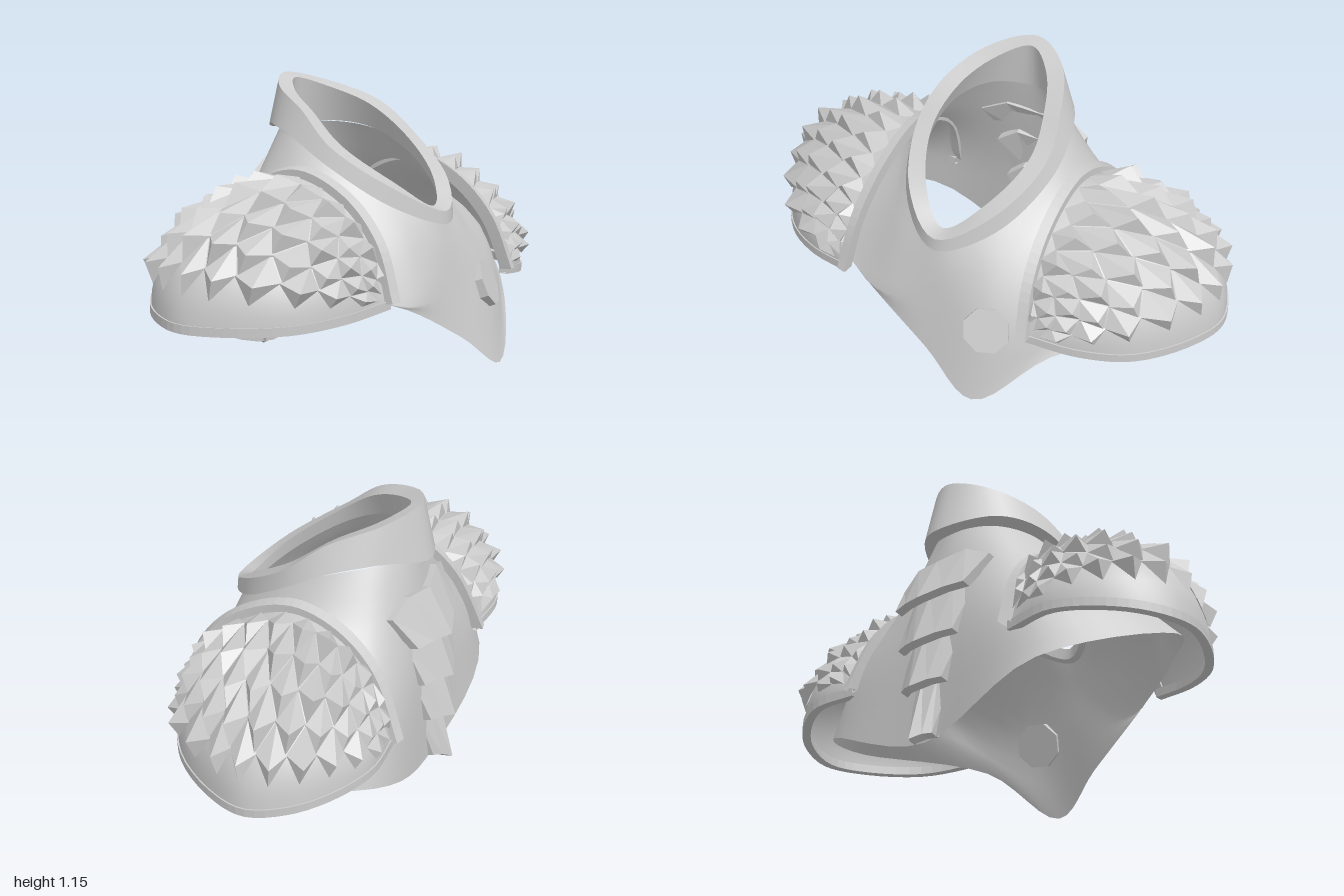
import * as THREE from 'three';

const V = (x, y, z) => new THREE.Vector3(x, y, z);
const smooth = new THREE.MeshStandardMaterial({ color: 0xcccccc, side: THREE.DoubleSide });
const flat = new THREE.MeshStandardMaterial({ color: 0xcccccc, side: THREE.DoubleSide, flatShading: true });

// Surface through rows of points; wrap joins the end of each row to its start
function loft(rows, wrap = false) {
  const n = rows[0].length, pos = [], idx = [];
  rows.forEach(r => r.forEach(p => pos.push(p.x, p.y, p.z)));
  for (let j = 0; j < rows.length - 1; j++)
    for (let i = 0; i < (wrap ? n : n - 1); i++) {
      const a = j * n + i, b = j * n + (i + 1) % n;
      idx.push(a, a + n, b, b, a + n, b + n);
    }
  const g = new THREE.BufferGeometry();
  g.setAttribute('position', new THREE.Float32BufferAttribute(pos, 3));
  g.setIndex(idx);
  g.computeVertexNormals();
  return g;
}

function add(parent, name, geo, mat = smooth) {
  const m = new THREE.Mesh(geo, mat);
  m.name = name;
  parent.add(m);
  return m;
}

const curve = (pts, closed = false) => new THREE.CatmullRomCurve3(pts.map(p => V(...p)), closed);

// Closed ring from front centre round the left side to back centre, mirrored
function ring(half, n = 60) {
  const other = half.slice(1, -1).reverse().map(([x, y, z]) => [-x, y, z]);
  return sampleRing(half.concat(other), n);
}
function sampleRing(pts, n = 60) {
  const c = curve(pts, true);
  return Array.from({ length: n }, (_, i) => c.getPoint(i / n));
}

function makeMantle(group) {
  const rings = [
    ring([[0, .62, .385], [.16, .69, .29], [.26, .82, .09], [.26, .91, -.1], [.17, .94, -.26], [0, .93, -.345]]),
    ring([[0, .5, .42], [.22, .55, .36], [.36, .71, .1], [.39, .74, -.08], [.29, .72, -.31], [0, .72, -.38]]),
    ring([[0, .34, .455], [.3, .33, .44], [.6, .52, .17], [.66, .53, -.08], [.48, .43, -.39], [0, .42, -.42]]),
    // hem with an off-centre point at the front
    sampleRing([[0, .16, .495], [.23, .02, .53], [.5, .25, .38], [.86, .33, 0], [.55, .2, -.42], [0, .02, -.44],
      [-.55, .2, -.42], [-.86, .33, 0], [-.6, .38, .28], [-.35, .335, .42]]),
  ];
  const columns = rings[0].map((_, i) => new THREE.CatmullRomCurve3(rings.map(r => r[i])).getPoints(12));
  const rows = columns[0].map((_, j) => columns.map(c => c[j]));
  add(group, 'mantle', loft(rows, true));
}

function makeCollar(group) {
  const collar = new THREE.Group();
  collar.name = 'collar';
  const outerTop = ring([[0, .65, .42], [.19, .75, .3], [.29, .9, .08], [.26, 1.03, -.08], [.16, 1.11, -.27], [0, 1.15, -.36]]);
  const outerLow = ring([[0, .6, .425], [.2, .68, .3], [.31, .83, .08], [.3, .93, -.1], [.21, .965, -.27], [0, .925, -.41]]);
  const innerLow = ring([[0, .62, .36], [.15, .7, .27], [.24, .83, .08], [.23, .92, -.1], [.15, .945, -.25], [0, .925, -.34]]);
  const innerTop = ring([[0, .665, .36], [.13, .76, .27], [.22, .9, .08], [.19, 1.02, -.08], [.11, 1.09, -.23], [0, 1.13, -.31]]);
  const faces = [[outerTop, outerLow, 'collarOutside'], [outerLow, innerLow, 'collarUnderside'],
    [innerLow, innerTop, 'collarInside'], [innerTop, outerTop, 'collarLip']];
  faces.forEach(([a, b, name]) => add(collar, name, loft([a, b], true)));
  group.add(collar);
}

// Dome between an arched inner edge and a curved lower rim
const arch = curve([[.41, .36, .44], [.39, .56, .36], [.375, .71, .21], [.37, .79, 0], [.375, .74, -.18], [.395, .61, -.33], [.43, .36, -.44]]);
const rim = curve([[.41, .36, .44], [.62, .33, .38], [.8, .31, .27], [.95, .305, .06], [.995, .31, -.1],
  [.93, .33, -.26], [.8, .35, -.38], [.64, .365, -.45], [.43, .36, -.44]]);
function dome(s, phi) {
  const a = arch.getPoint(s), r = rim.getPoint(s), c = Math.cos(phi), k = Math.sin(phi);
  return V(a.x + (r.x - a.x) * k, r.y + (a.y - r.y) * c, a.z + (r.z - a.z) * k);
}
function raised(s, phi, h) {
  const p = dome(s, phi), e = .01;
  const n = dome(s + e, phi).sub(dome(s - e, phi)).cross(dome(s, phi + e).sub(dome(s, phi - e))).normalize();
  if (n.dot(V(p.x - .4, p.y - .3, p.z)) < 0) n.negate();
  return p.addScaledVector(n, h);
}

function makeScales() {
  const pos = [], count = 11, step = .24;
  for (let j = 0; j < 5; j++)
    for (let i = 0; i < count; i++) {
      const ds = .46 / count, s = .06 + .88 * (i + (j % 2 ? .72 : .28)) / count;
      const phi = .14 + j * step, jitter = Math.sin(i * 7.3 + j * 3.1) * .012;
      const size = Math.sqrt(Math.sin(Math.PI * s));
      const lo = x => Math.min(.975, Math.max(.025, x));
      const base = [[s, Math.max(.05, phi - step)], [lo(s + ds), phi], [s, phi + step], [lo(s - ds), phi]]
        .map(([u, v]) => raised(u, v, .008));
      const tip = raised(s, phi + .1, (.058 + jitter) * size);
      base.forEach((p, k) => [p, tip, base[(k + 1) % 4]].forEach(q => pos.push(q.x, q.y, q.z)));
    }
  const g = new THREE.BufferGeometry();
  g.setAttribute('position', new THREE.Float32BufferAttribute(pos, 3));
  g.computeVertexNormals();
  return g;
}

function makePauldron() {
  const p = new THREE.Group(), N = 36;
  const along = f => Array.from({ length: N + 1 }, (_, i) => f(i / N));
  add(p, 'pauldronShell', loft(along(s => Array.from({ length: 13 }, (_, j) => dome(s, j / 12 * Math.PI / 2)))));
  add(p, 'pauldronScales', makeScales(), flat);
  // raised strip along the neck side
  add(p, 'innerTrim', loft(along(s => {
    const a = arch.getPoint(s), n = V(0, a.y - .3, a.z).normalize();
    return [[-.015, .04], [.025, .03], [.025, -.012], [-.015, -.012]]
      .map(([x, h]) => V(a.x + x, a.y, a.z).addScaledVector(n, h));
  }), true), flat);
  // strip along the lower edge
  add(p, 'lowerTrim', loft(along(s => {
    const r = rim.getPoint(s), n = V(r.x - .45, 0, r.z).normalize();
    return [[.005, .012], [.005, -.022], [-.03, -.022], [-.03, .012]]
      .map(([h, y]) => V(r.x, r.y + y, r.z).addScaledVector(n, h));
  }), true), flat);
  return p;
}

function makeSpine(group) {
  const spine = new THREE.Group();
  spine.name = 'spinePlates';
  // top y, bottom y, top half-width, bottom half-width, top z, bottom z
  const plates = [[.79, .6, .24, .19, -.4, -.5], [.64, .41, .18, .15, -.43, -.515],
    [.46, .22, .145, .11, -.45, -.53], [.27, .01, .1, .06, -.46, -.525]];
  plates.forEach(([y0, y1, w0, w1, z0, z1], k) => {
    const row = (y, w, z, side, middle, depth) => [-1, -.55, 0, .55, 1].map(t => {
      const a = Math.abs(t);
      return V(t * w, y + (a === 1 ? side : a ? middle : 0), z + depth * a);
    });
    const a = row(y0, w0, z0, -.03, .02, .05), b = row(y1, w1, z1, .025, .02, .06);
    const inward = r => r.map(p => p.clone().add(V(0, -.01, .035)));
    const rows = [a, b, inward(b), inward(a), a];
    // run the section round each column so the ends can be capped
    const plate = new THREE.Group();
    plate.name = 'spinePlate' + (k + 1);
    add(plate, 'plateBody', loft(rows), flat);
    [0, 4].forEach(i => add(plate, 'plateSide', loft([[a[i], b[i]], [rows[3][i], rows[2][i]]]), flat));
    spine.add(plate);
  });
  group.add(spine);
}

export function createModel() {
  const group = new THREE.Group();
  group.name = 'shoulderArmor';
  makeMantle(group);
  makeCollar(group);

  const left = makePauldron();
  left.name = 'leftPauldron';
  const right = left.clone();
  right.name = 'rightPauldron';
  right.scale.x = -1;
  group.add(left, right);

  makeSpine(group);

  // eight-sided chest disc
  const disc = add(group, 'chestDisc', new THREE.CylinderGeometry(.095, .095, .05, 8), flat);
  disc.position.set(.25, .325, .44);
  disc.quaternion.setFromUnitVectors(V(0, 1, 0), V(.3, .36, .88).normalize());
  return group;
}
